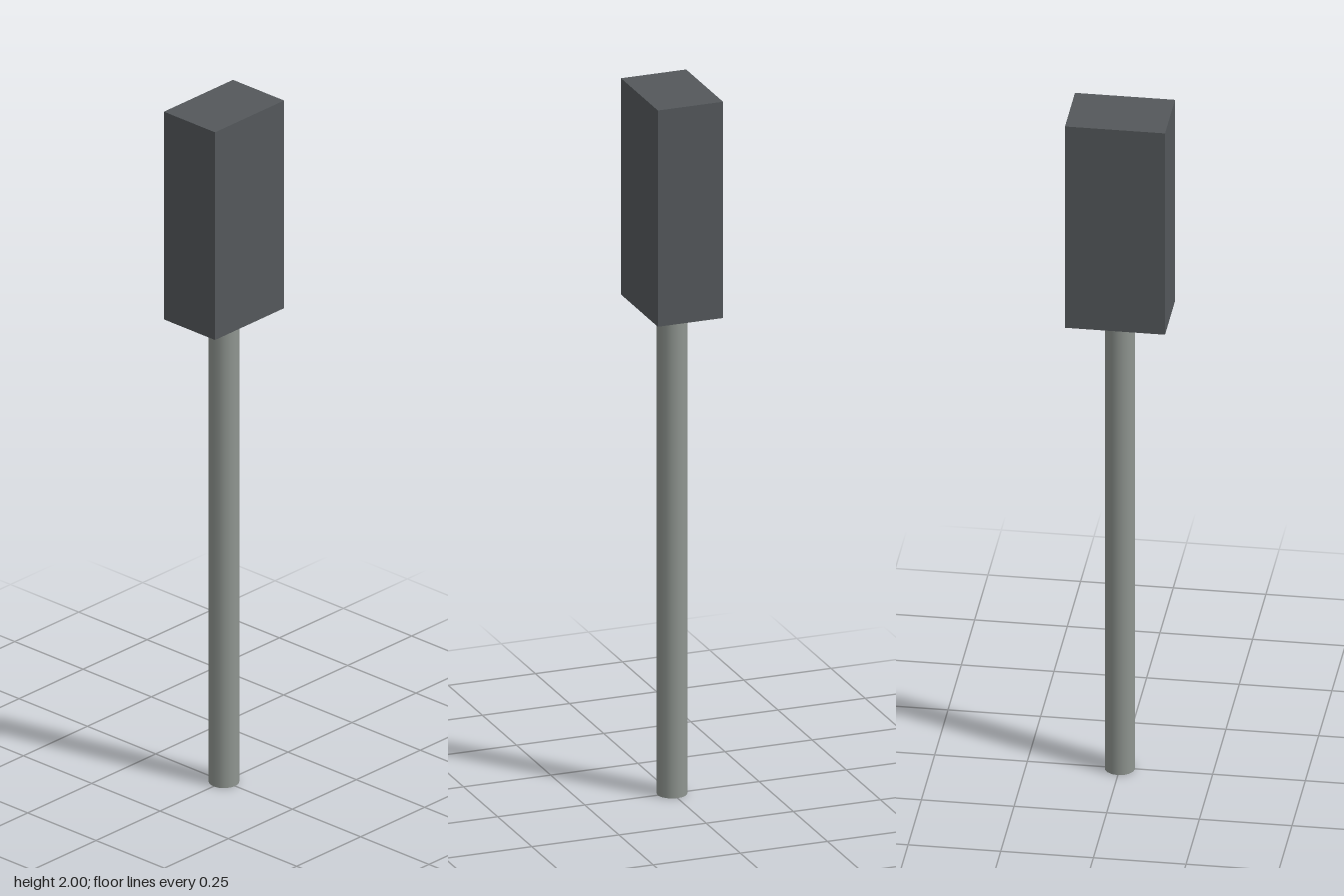
import * as THREE from 'three';

export function createModel() {
  const group = new THREE.Group();
  const darkGrey = new THREE.MeshStandardMaterial({ color: 0x54585b });
  darkGrey.name = 'dark grey';
  const lightGrey = new THREE.MeshStandardMaterial({ color: 0x8f9590 });
  lightGrey.name = 'light grey metal';

  const headBottom = 1.385, top = 2;

  // Round post, closed at the foot
  const post = new THREE.Mesh(new THREE.CylinderGeometry(0.041, 0.041, headBottom, 16), lightGrey);
  post.name = 'post';
  post.position.y = headBottom / 2;

  // Rectangular head on top of the post
  const head = new THREE.Mesh(new THREE.BoxGeometry(0.27, top - headBottom, 0.187), darkGrey);
  head.name = 'head';
  head.position.y = (headBottom + top) / 2;

  group.add(post, head);
  return group;
}
